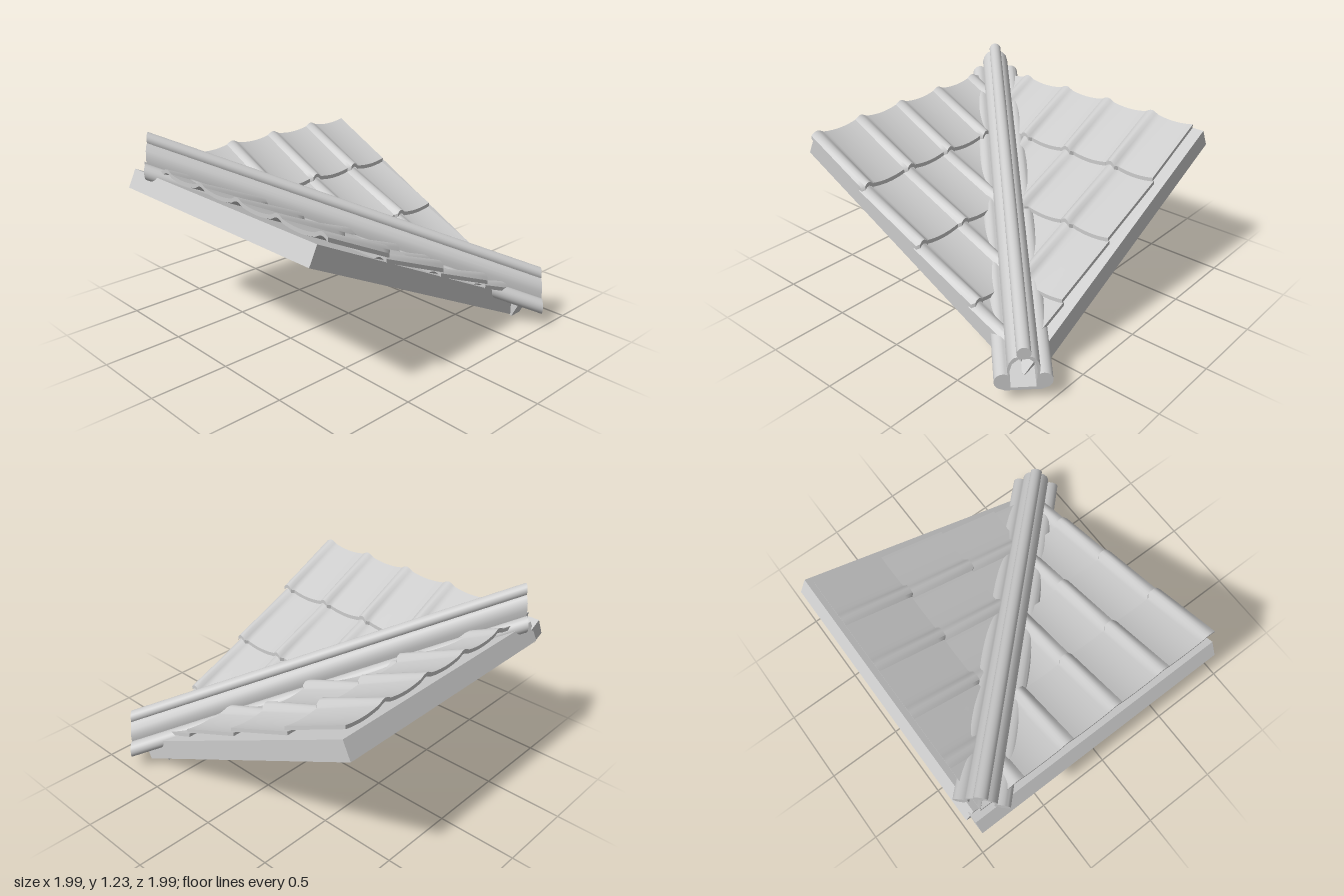
import * as THREE from 'three';
import { toCreasedNormals } from 'three/addons/utils/BufferGeometryUtils.js';

const SLOPE = 0.497, TOP = 0.528;            // roof plane: y = TOP - SLOPE * u
const planeY = (u) => TOP - SLOPE * u;
const mat = () => new THREE.MeshStandardMaterial({ color: 0xcccccc, side: THREE.DoubleSide });

function mesh(name, geo, crease = 0.6) {
  const m = new THREE.Mesh(toCreasedNormals(geo, crease), mat());
  m.name = name;
  return m;
}

// Flat piece lying in the roof plane; (u, v) outline, depths measured down from the plane
function slab(name, pts, d0, d1) {
  const k = Math.hypot(1, SLOPE);
  const shape = new THREE.Shape(pts.map(([u, v]) => new THREE.Vector2(u * k, v)));
  const geo = new THREE.ExtrudeGeometry(shape, { depth: d1 - d0, bevelEnabled: false });
  geo.translate(0, 0, d0);
  const X = new THREE.Vector3(1, -SLOPE, 0).normalize(), Y = new THREE.Vector3(0, 0, 1);
  geo.applyMatrix4(new THREE.Matrix4().makeBasis(X, Y, X.clone().cross(Y)).setPosition(0, TOP, 0));
  return mesh(name, geo);
}
const rect = (u0, u1, v0, v1) => [[u0, v0], [u1, v0], [u1, v1], [u0, v1]];

// Pantile: narrow roll beside a shallow trough, swept down the slope
const ROLL = 0.09, WIDTH = 0.35, THICK = 0.025;
function tile(u0, u1, v1, lift0, clip) {
  const NU = 12, NV = 22, pos = [], idx = [], ring = 2 * (NV + 1);
  for (let i = 0; i <= NU; i++) {
    const t = i / NU, u = u0 + (u1 - u0) * t;
    const [lo, hi] = clip(u, v1 - WIDTH, v1);
    const top = [], bottom = [];
    for (let j = 0; j <= NV; j++) {
      const v = Math.min(lo, hi) + Math.max(0, hi - lo) * j / NV;
      const p = v1 - v, q = (p - ROLL) / (WIDTH - ROLL);
      const bump = p < ROLL ? Math.sin(Math.PI * p / ROLL) : 0;
      const h = lift0 + (0.045 - lift0) * t
        + (p < ROLL ? 0.015 + bump * (0.02 + 0.02 * t) : 0.015 * (2 * q - 1) ** 2);
      const uu = u + (i === NU && bump > 0.2 ? 0.02 : 0);
      top.push([uu, planeY(uu) + h, v]);
      bottom.unshift([uu, planeY(uu) + h - THICK, v]);
    }
    pos.push(...top.flat(), ...bottom.flat());
  }
  for (let i = 0; i < NU; i++) for (let j = 0; j < ring; j++) {
    const a = i * ring + j, b = i * ring + (j + 1) % ring;
    idx.push(a, b, a + ring, b, b + ring, a + ring);
  }
  // end caps
  for (let j = 0; j < NV; j++) {
    const a = j, b = j + 1, c = ring - 2 - j, d = ring - 1 - j, e = NU * ring;
    idx.push(a, c, b, a, d, c, e + a, e + b, e + c, e + a, e + c, e + d);
  }
  const geo = new THREE.BufferGeometry();
  geo.setAttribute('position', new THREE.Float32BufferAttribute(pos, 3));
  geo.setIndex(idx);
  return mesh('roofTile', geo, 0.7);
}

const ROWS = [-0.9, -0.46, -0.005, 0.425, 0.795];
function tileField(firstEdge, dir, clip) {
  const g = new THREE.Group();
  g.name = 'tiles';
  for (let r = 0; r < 4; r++) for (let c = 0; c < 5; c++) {
    const u0 = ROWS[r] - (r ? 0.02 : 0), v1 = firstEdge + dir * c * WIDTH;
    const [lo, hi] = clip(u0, v1 - WIDTH, v1);
    if (hi - lo > 0.01) g.add(tile(u0, ROWS[r + 1], v1, r ? 0.01 : 0.042, clip));
  }
  return g;
}

// Ridge cap: hollow arch with a roll on top and one along each edge
function ridgeCap() {
  const arc = (cx, cy, r, a0, a1, n) => Array.from({ length: n + 1 }, (_, i) => {
    const a = THREE.MathUtils.degToRad(a0 + (a1 - a0) * i / n);
    return new THREE.Vector2(cx + r * Math.cos(a), cy + r * Math.sin(a));
  });
  const V = (x, y) => new THREE.Vector2(x, y);
  const flip = (list) => list.map((p) => V(-p.x, p.y)).reverse();
  const side = [V(0.1, 0.072), ...arc(0.112, 0.13, 0.05, -80, 120, 14),
    V(0.09, 0.215), V(0.079, 0.255), V(0.055, 0.284)];
  const shape = new THREE.Shape([...side, ...arc(0, 0.31, 0.04, -30, 210, 16), ...flip(side)]);
  const inner = [V(0.07, 0.09), V(0.076, 0.2), V(0.064, 0.245), V(0.03, 0.275)];
  shape.holes.push(new THREE.Path([...inner, ...flip(inner)]));
  const geo = new THREE.ExtrudeGeometry(shape, { depth: 1.755, bevelEnabled: false });
  const X = new THREE.Vector3(1, 0, -1).normalize();
  geo.applyMatrix4(new THREE.Matrix4()
    .makeBasis(X, new THREE.Vector3(0, 1, 0), new THREE.Vector3(1, -0.504, 1))
    .setPosition(-0.875, 0.884, -0.875));
  return mesh('ridgeCap', geo, 0.7);
}

export function createModel() {
  const model = new THREE.Group();
  model.name = 'roofCorner';

  // Slope falling towards +x
  const sideSlope = new THREE.Group();
  sideSlope.name = 'sideSlope';
  sideSlope.add(
    slab('deck', [[-0.9, -0.9], [0.7, 0.7], [-0.9, 0.7]], 0.0, 0.085),
    slab('vergeBoard', rect(-0.935, 0.825, 0.67, 0.76), 0, 0.125),
    slab('topBoard', rect(-0.935, -0.86, -0.96, 0.67), 0, 0.125),
    tileField(0.8, -1, (u, a, b) => [Math.max(a, u, -0.9), b]));

  // Slope falling towards +z: the same layout turned a quarter
  const frontSlope = new THREE.Group();
  frontSlope.name = 'frontSlope';
  frontSlope.rotation.y = -Math.PI / 2;
  frontSlope.add(
    slab('deck', [[-0.9, -0.77], [0.77, -0.77], [-0.9, 0.9]], 0.0, 0.085),
    slab('vergeBoard', rect(-0.935, 0.825, -0.84, -0.75), 0, 0.125),
    slab('topBoard', rect(-0.935, -0.86, -0.75, 0.88), 0, 0.125),
    tileField(-0.43, 1, (u, a, b) => [Math.max(a, -0.785), Math.min(b, -u)]));

  model.add(sideSlope, frontSlope, ridgeCap());
  return model;
}
